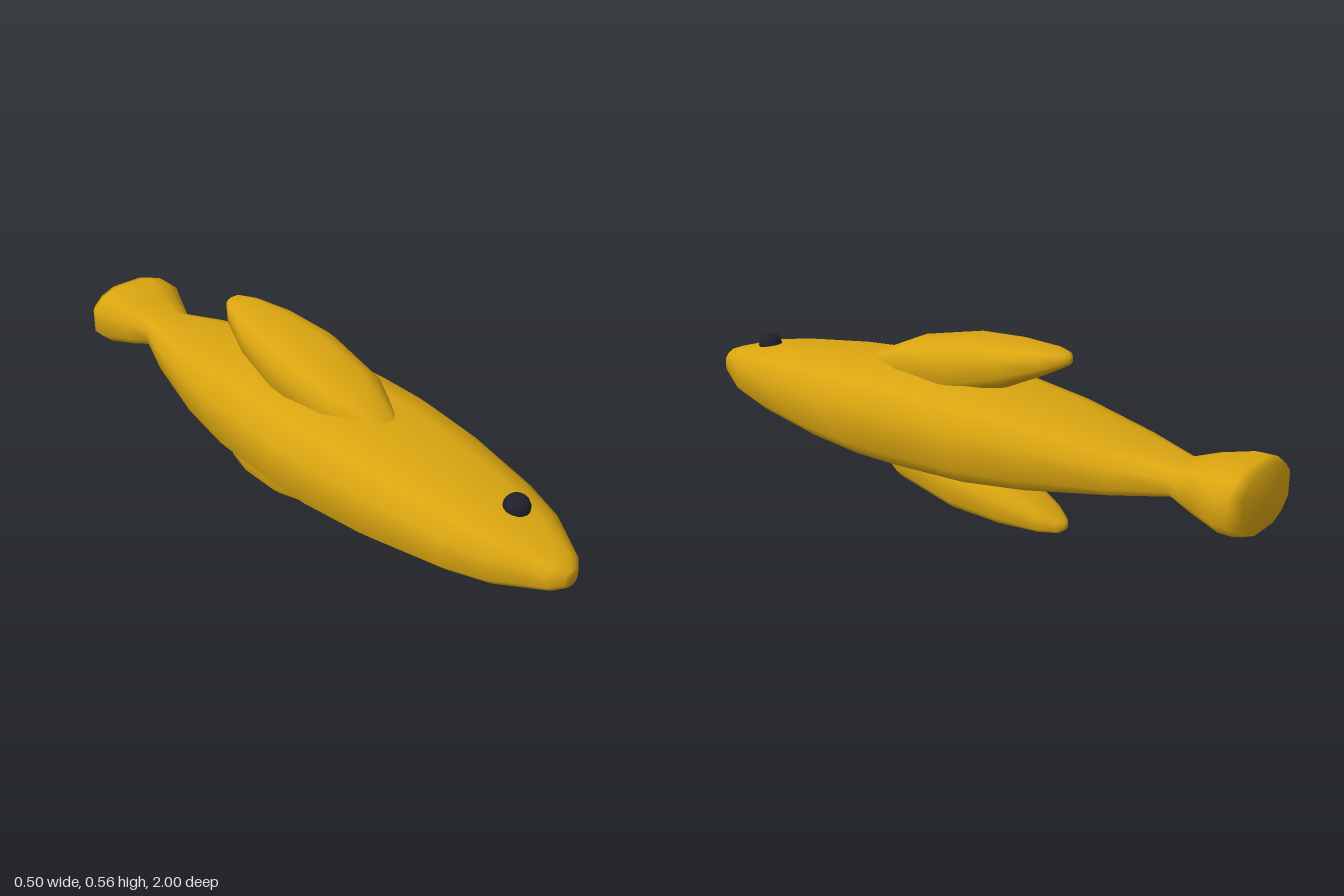
import * as THREE from 'three';

const MID = 0.2785; // height of the body axis

// Twelve-sided rounded section, counter-clockwise seen from the front
const quarter = [[1, 0.41], [0.76, 0.77], [0.4, 1]];
const flip = quarter.slice().reverse().map(([x, y]) => [-x, y]);
const upper = [...quarter, ...flip];
const ring = [...upper, ...upper.map(([x, y]) => [-x, -y])];

// Smooth closed skin over stations [z, halfWidth, centreY, halfHeight], front to back
function loft(stations, cx = 0) {
  const n = ring.length, pos = [], idx = [];
  for (const [z, w, y, h] of stations)
    for (const [rx, ry] of ring) pos.push(cx + rx * w, y + ry * h, z);
  for (let i = 0; i < stations.length - 1; i++)
    for (let j = 0; j < n; j++) {
      const a = i * n + j, b = i * n + (j + 1) % n, c = a + n, d = b + n;
      idx.push(a, c, b, b, c, d);
    }
  // End caps share the rim so they shade smoothly
  const first = stations[0], last = stations[stations.length - 1];
  const front = pos.length / 3, back = front + 1, off = (stations.length - 1) * n;
  pos.push(cx, first[2], first[0], cx, last[2], last[0]);
  for (let j = 0; j < n; j++) {
    const k = (j + 1) % n;
    idx.push(front, j, k, back, off + k, off + j);
  }
  const g = new THREE.BufferGeometry();
  g.setAttribute('position', new THREE.Float32BufferAttribute(pos, 3));
  g.setIndex(idx);
  g.computeVertexNormals();
  return g;
}

export function createModel() {
  const group = new THREE.Group();
  const gold = new THREE.MeshStandardMaterial({ color: 0xdaa510 });
  gold.name = 'gold';
  const black = new THREE.MeshStandardMaterial({ color: 0x20202a });
  black.name = 'eye black';

  const add = (name, geometry, material) => {
    const mesh = new THREE.Mesh(geometry, material);
    mesh.name = name;
    group.add(mesh);
    return mesh;
  };

  // Body with the tail flaring out of its narrow end: [z, halfWidth, halfHeight]
  const body = [
    [1, 0.025, 0.025], [0.97, 0.06, 0.045], [0.83, 0.14, 0.085], [0.7, 0.18, 0.108],
    [0.45, 0.228, 0.137], [0.25, 0.248, 0.151], [0.1, 0.25, 0.151], [-0.15, 0.24, 0.144],
    [-0.35, 0.21, 0.12], [-0.6, 0.145, 0.077], [-0.76, 0.085, 0.047],
    [-0.84, 0.118, 0.075], [-0.93, 0.158, 0.095], [-0.97, 0.158, 0.095], [-1, 0.135, 0.086],
  ];
  add('body', loft(body.map(([z, w, h]) => [z, w, MID, h])), gold);

  // Fins sweep back and away from the body, mirrored above and below: [z, halfWidth, rise, halfHeight]
  const fin = [
    [0.38, 0.02, 0.085, 0.02], [0.31, 0.055, 0.108, 0.05], [0.17, 0.112, 0.142, 0.08],
    [-0.04, 0.128, 0.182, 0.085], [-0.2, 0.106, 0.213, 0.065], [-0.32, 0.065, 0.241, 0.037],
    [-0.37, 0.032, 0.252, 0.021], [-0.385, 0.012, 0.252, 0.01],
  ];
  for (const [side, s] of [['top', 1], ['bottom', -1]]) {
    add(side + 'Fin', loft(fin.map(([z, w, r, h]) => [z, w, MID + s * r, h]), -0.006), gold);

    // Eyes, one on each face of the head
    const eye = add(side + 'Eye', new THREE.SphereGeometry(0.038, 16, 12), black);
    eye.position.set(0.023, MID + s * 0.094, 0.785);
  }
  return group;
}
